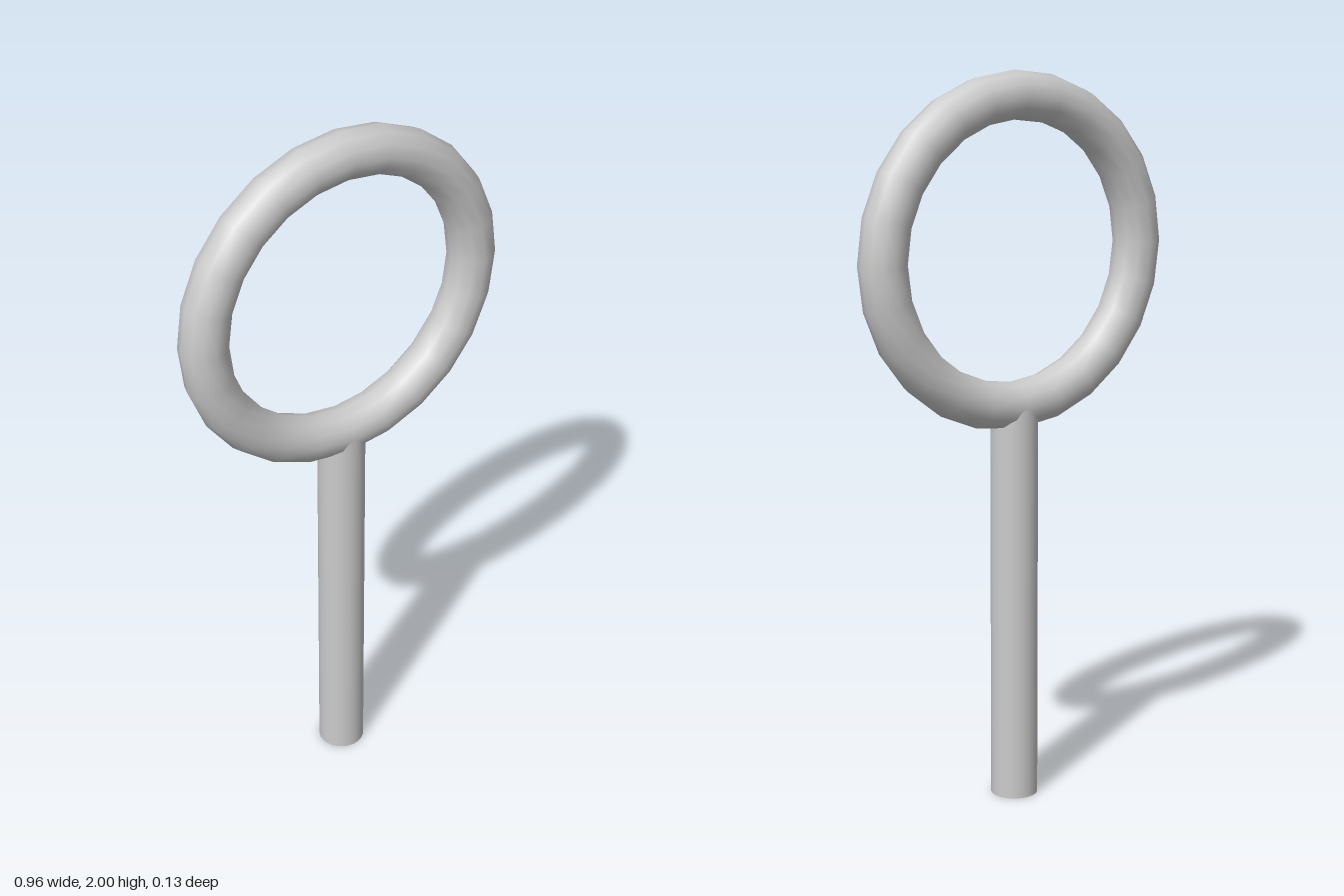
import * as THREE from 'three';

export function createModel() {
  const group = new THREE.Group();
  const material = new THREE.MeshStandardMaterial({ color: 0xcccccc });
  const rodRadius = 0.065;
  const ringRadius = 0.415;
  const ringCentre = 2 - ringRadius - rodRadius;

  function add(name, geometry, y) {
    const mesh = new THREE.Mesh(geometry, material);
    mesh.name = name;
    mesh.position.y = y;
    group.add(mesh);
  }

  // Upright ring
  add('ring', new THREE.TorusGeometry(ringRadius, rodRadius, 12, 24), ringCentre);

  // Straight handle, ending at the core of the ring's tube
  const handleHeight = ringCentre - ringRadius;
  add('handle', new THREE.CylinderGeometry(rodRadius, rodRadius, handleHeight, 24), handleHeight / 2);

  return group;
}
